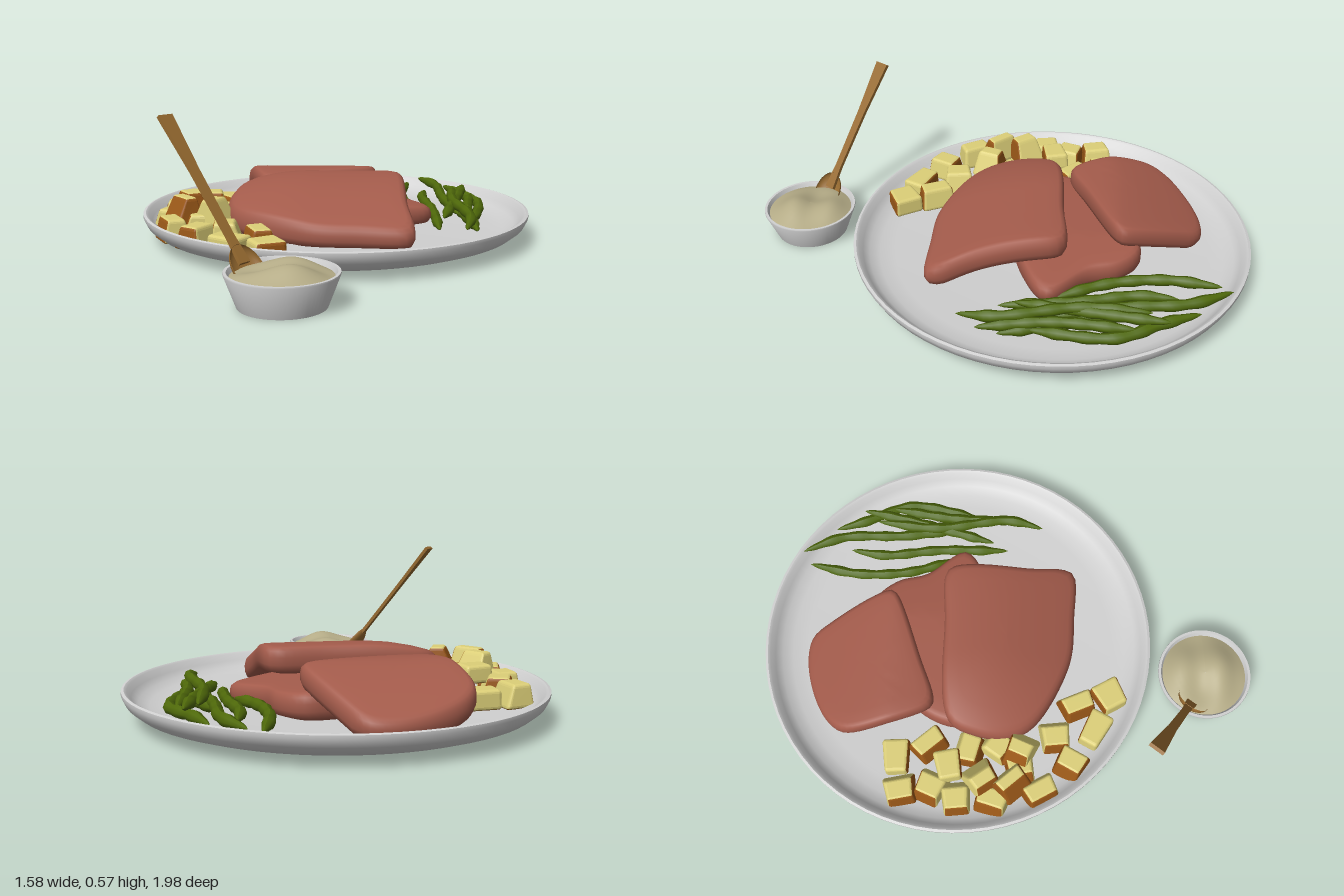
import * as THREE from 'three';
import { toCreasedNormals } from 'three/addons/utils/BufferGeometryUtils.js';
import { RoundedBoxGeometry } from 'three/addons/geometries/RoundedBoxGeometry.js';

const mat = (name, color, side = THREE.FrontSide) => {
  const m = new THREE.MeshStandardMaterial({ color, side });
  m.name = name;
  return m;
};
const china = mat('china', 0xd0d0d0);
const meat = mat('meat', 0xa35b4b);
const green = mat('bean green', 0x4f690a);
const flesh = mat('potato flesh', 0xdccf78);
const skin = mat('potato skin', 0x9a5818);
const cream = mat('sauce', 0xb5ac87, THREE.DoubleSide);
const wood = mat('wood', 0x966a30, THREE.DoubleSide);

const FLOOR = 0.045;
const v2 = (p) => p.map(([x, y]) => new THREE.Vector2(x, y));

function add(parent, name, geometry, material) {
  const m = new THREE.Mesh(geometry, material);
  m.name = name;
  parent.add(m);
  return m;
}

function group(parent, name) {
  const g = new THREE.Group();
  g.name = name;
  parent.add(g);
  return g;
}

const dish = (profile) => toCreasedNormals(new THREE.LatheGeometry(v2(profile), 72), 0.6);

// Slab of meat: rounded section swept around an outline, top following a height rule
const SECTION = [[0, 0], [0.5, 0], [0.88, 0], [0.97, 0.1], [1, 0.35], [1, 0.62], [0.985, 0.84],
  [0.95, 0.95], [0.9, 0.99], [0.75, 1], [0.55, 1], [0.35, 1], [0.18, 1], [0, 1]];
function slab(outline, thick, topAt) {
  const N = 72;
  const curve = new THREE.CatmullRomCurve3(outline.map(([x, z]) => new THREE.Vector3(x, 0, z)), true);
  const pts = curve.getSpacedPoints(N).slice(0, N);
  const mid = pts.reduce((s, p) => s.add(p), new THREE.Vector3()).divideScalar(N);
  const pos = [], idx = [];
  SECTION.forEach(([s, t], k) => pts.forEach((p, i) => {
    const x = mid.x + (p.x - mid.x) * s, z = mid.z + (p.z - mid.z) * s;
    const top = topAt(x, z), bottom = Math.max(FLOOR, top - thick);
    pos.push(x, bottom + (top - bottom) * t, z);
    if (k === SECTION.length - 1) return;
    const a = k * N + i, b = k * N + (i + 1) % N;
    idx.push(a, a + N, b + N, a, b + N, b);
  }));
  const g = new THREE.BufferGeometry();
  g.setAttribute('position', new THREE.Float32BufferAttribute(pos, 3));
  g.setIndex(idx);
  g.computeVertexNormals();
  return g;
}

// Bean: tube arching to a given height, with tapering ends and slight swellings
function bean(height, points) {
  const last = points.length - 1;
  const curve = new THREE.CatmullRomCurve3(points.map(([x, z], i) =>
    new THREE.Vector3(x, height - 0.03 * (i / last) ** 2, z)));
  const n = 32, sides = 8;
  const g = new THREE.TubeGeometry(curve, n, 0.021, sides);
  const pos = g.attributes.position, v = new THREE.Vector3();
  for (let i = 0; i < pos.count; i++) {
    const t = Math.floor(i / (sides + 1)) / n, c = curve.getPointAt(t);
    const end = Math.min(1, Math.pow(Math.sin(Math.PI * t) * 2.2 + 0.001, 0.7));
    v.fromBufferAttribute(pos, i).sub(c).multiplyScalar(end * (1 + 0.1 * Math.sin(t * 40))).add(c);
    pos.setXYZ(i, v.x, v.y, v.z);
  }
  g.computeVertexNormals();
  return g;
}

// Potato chunk: rounded block narrowed towards the top
function chunk(w, h, d, taper, lean) {
  const g = new RoundedBoxGeometry(w, h, d, 2, 0.014);
  const pos = g.attributes.position;
  for (let i = 0; i < pos.count; i++) {
    const t = pos.getY(i) / h + 0.5;
    pos.setX(i, pos.getX(i) * (1 - taper * t) + lean * t * w);
    pos.setZ(i, pos.getZ(i) * (1 - taper * 0.35 * t) * (1 + 1.6 * pos.getX(i)));
  }
  g.computeVertexNormals();
  return g;
}

// Row of chunks at [x, z, turn], their proportions varied by index
function chunks(parent, base, [w, h, d], taper, places) {
  places.forEach(([x, z, turn], i) => {
    const vary = 1 + 0.12 * Math.sin(i * 2.4);
    const left = taper < 0.2 ? flesh : skin;
    const sides = [flesh, left, flesh, skin, i % 2 ? flesh : skin, i % 3 ? skin : flesh];
    const m = add(parent, 'potatoChunk', chunk(w * vary, h, d / vary, taper, (i % 3 - 1) * 0.15 * taper), sides);
    m.position.set(x, base + h / 2, z);
    m.rotation.y = turn;
  });
}

export function createModel() {
  const model = new THREE.Group();
  model.name = 'steakDinner';

  // Plate
  add(model, 'plate', dish([[0, 0.016], [0.62, 0.016], [0.68, 0.021], [0.74, 0.042], [0.775, 0.07],
    [0.79, 0.1], [0.79, 0.113], [0.78, 0.116], [0.77, 0.11], [0.755, 0.085], [0.73, 0.063],
    [0.69, 0.048], [0.63, 0.042], [0, 0.042]]), china).position.z = -0.2;

  // Three pieces of meat, two resting on the lowest one
  const steaks = group(model, 'steaks');
  add(steaks, 'frontSteak', slab([[-0.36, -0.225], [0.05, -0.25], [0.24, -0.252], [0.27, -0.22],
    [0.29, 0.1], [0.31, 0.24], [0.295, 0.28], [0.1, 0.28], [-0.1, 0.26],
    [-0.36, 0.12], [-0.42, 0.02], [-0.415, -0.12]], 0.105, (x, z) => {
    const u = (0.28 - z) / 0.53, left = Math.max(0, (-0.1 - x) / 0.32);
    return 0.125 + 0.135 * Math.sin(u * 1.7) - 0.055 * left * left;
  }), meat);
  add(steaks, 'backSteak', slab([[-0.41, -0.62], [-0.37, -0.7], [-0.25, -0.775], [-0.09, -0.815], [0, -0.8],
    [0.06, -0.72], [0.17, -0.47], [0.15, -0.445], [-0.12, -0.34],
    [-0.28, -0.285], [-0.315, -0.3]], 0.09, (x, z) => {
    const d = Math.max(0, (-0.45 - z) / 0.35), f = Math.max(0, (z + 0.45) / 0.17);
    return 0.242 - 0.13 * Math.pow(d, 1.3) - 0.018 * f * f;
  }), meat);
  add(steaks, 'lowerSteak', slab([[-0.37, -0.2], [-0.32, -0.33], [-0.15, -0.48], [0.05, -0.54], [0.17, -0.545],
    [0.25, -0.46], [0.285, -0.34], [0.395, -0.175], [0.25, -0.085],
    [0.05, -0.05], [-0.35, -0.14]], 0.12, (x) => 0.155 - 0.035 * Math.max(0, (x - 0.1) / 0.3)), meat);

  // Green beans: height of the back end, then the path across the plate
  const beans = group(model, 'greenBeans');
  [
    [0.095, [[0.33, -0.84], [0.29, -0.63], [0.305, -0.42], [0.38, -0.2]]],
    [0.115, [[0.38, -0.87], [0.45, -0.7], [0.465, -0.45], [0.51, -0.18]]],
    [0.1, [[0.49, -0.74], [0.54, -0.6], [0.615, -0.42], [0.56, -0.1]]],
    [0.09, [[0.4, -0.67], [0.38, -0.52], [0.41, -0.3], [0.42, 0]]],
    [0.125, [[0.52, -0.56], [0.495, -0.3], [0.54, 0], [0.51, 0.15]]],
    [0.09, [[0.45, -0.5], [0.51, -0.34], [0.575, 0]]],
    [0.125, [[0.57, -0.62], [0.53, -0.42], [0.44, -0.06]]],
    [0.105, [[0.59, -0.5], [0.55, -0.2], [0.56, 0.08]]],
  ].forEach(([height, path]) => add(beans, 'bean', bean(height, path), green));

  // Potatoes: wedges on the plate, wedges on top of them, and squarer blocks
  const potatoes = group(model, 'potatoes');
  chunks(potatoes, FLOOR, [0.125, 0.09, 0.125], 0.4, [[-0.62, -0.41, 0.2], [-0.61, -0.29, -0.4],
    [-0.44, -0.3, 0.7], [-0.65, -0.19, 0.1], [-0.46, -0.14, 1.3], [-0.66, -0.05, -0.3], [-0.44, -0.03, 0.9],
    [-0.62, 0.14, 0.5], [-0.51, 0.26, -0.5], [-0.4, 0.2, 0.1], [-0.27, 0.29, 0.4], [-0.53, 0.06, 0.2]]);
  chunks(potatoes, 0.09, [0.14, 0.105, 0.125], 0.65, [[-0.58, -0.09, 0.6], [-0.47, 0.06, -0.4], [-0.6, 0.03, 0.7]]);
  chunks(potatoes, FLOOR, [0.14, 0.075, 0.1], 0.08, [[-0.49, -0.43, 0.05], [-0.37, 0.36, -0.5], [-0.23, 0.42, 0.5]]);
  chunks(potatoes, 0.1, [0.13, 0.07, 0.1], 0.15, [[-0.53, -0.22, 0.2]]);

  // Sauce bowl with an uneven mound of sauce
  const bowl = group(model, 'sauceBowl');
  bowl.position.set(-0.137, 0, 0.806);
  add(bowl, 'bowl', dish([[0, 0], [0.146, 0], [0.187, 0.108], [0.186, 0.113], [0.176, 0.113],
    [0.172, 0.105], [0.135, 0.015], [0, 0.015]]), china);
  const sauce = new THREE.RingGeometry(0.0005, 0.169, 40, 10).rotateX(-Math.PI / 2);
  const sp = sauce.attributes.position;
  for (let i = 0; i < sp.count; i++) {
    const x = sp.getX(i), z = sp.getZ(i), f = 1 - (x * x + z * z) / (0.169 * 0.169);
    sp.setY(i, 0.096 + f * (0.036 + 0.012 * Math.sin(x * 22 + 0.5) + 0.014 * Math.cos((z - 0.07) * 34)));
  }
  sauce.computeVertexNormals();
  add(bowl, 'sauce', sauce, cream);

  // Wooden spoon leaning out of the bowl
  const spoon = group(model, 'spoon');
  const foot = new THREE.Vector3(-0.27, 0.138, 0.74);
  const axis = new THREE.Vector3(-0.55, 0.572, 0.53).sub(foot);
  const L = axis.length();
  axis.normalize();
  const across = new THREE.Vector3(0.6, 0, -0.8);
  const face = across.clone().cross(axis).normalize();
  spoon.quaternion.setFromRotationMatrix(new THREE.Matrix4().makeBasis(across, axis, face));
  spoon.position.copy(foot);
  const handle = new THREE.Shape(v2([[-0.022, -0.02], [0.022, -0.02], [0.015, 0.08], [0.018, L * 0.6],
    [0.03, L], [-0.03, L], [-0.018, L * 0.6], [-0.015, 0.08]]));
  add(spoon, 'spoonHandle', new THREE.ExtrudeGeometry(handle, { depth: 0.014, bevelEnabled: false })
    .translate(0, 0, -0.012), wood);
  const scoop = new THREE.SphereGeometry(1, 24, 10, 0, Math.PI * 2, Math.PI / 2, Math.PI / 2)
    .rotateX(Math.PI / 2).scale(0.066, 0.085, 0.035).translate(0, -0.04, 0.004);
  add(spoon, 'spoonScoop', scoop, wood);

  return model;
}
